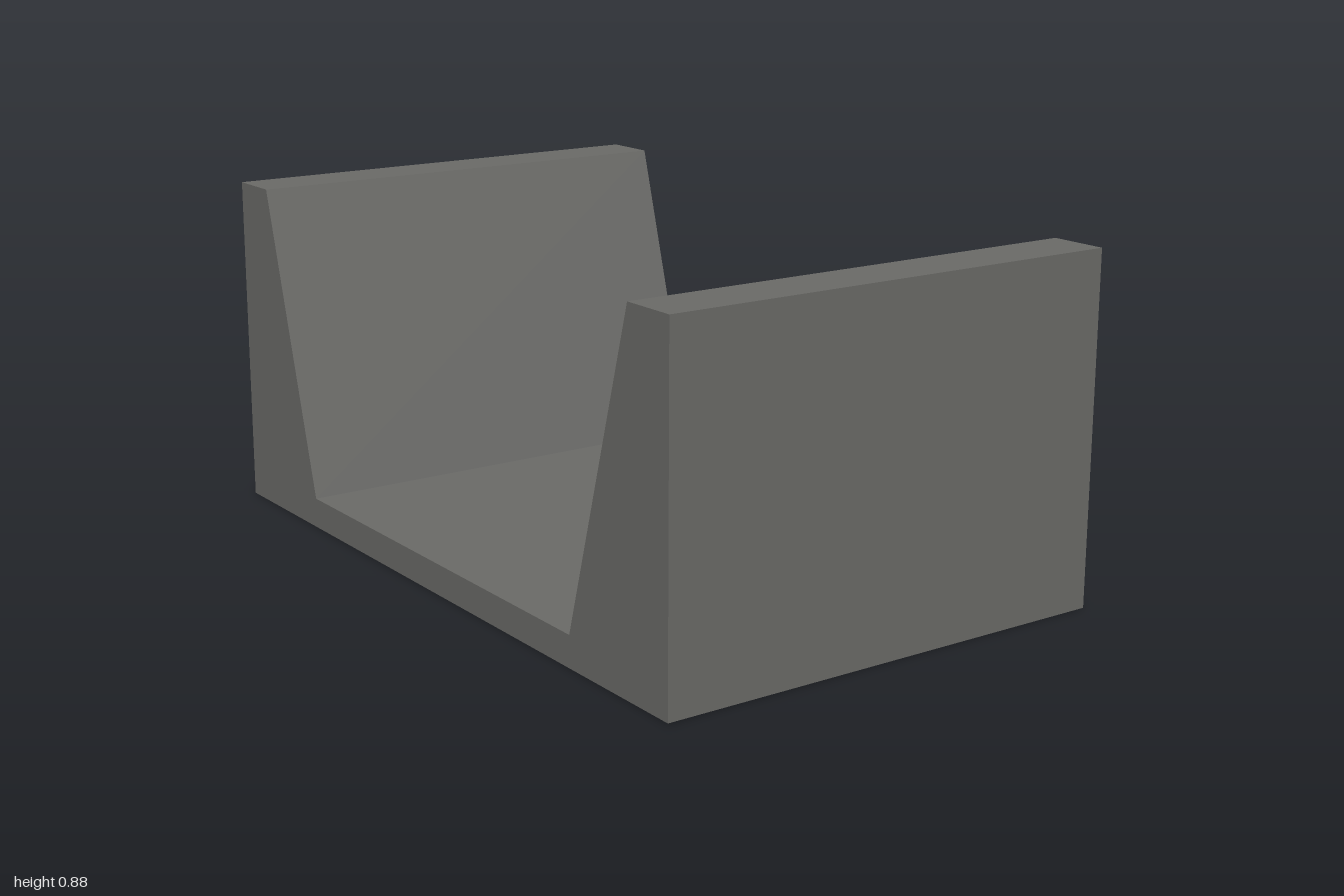
import * as THREE from 'three';

const WIDTH = 1.234;

export function createModel() {
  const group = new THREE.Group();
  group.name = 'channelBlock';

  const darkGrey = new THREE.MeshStandardMaterial({ color: 0x6b6b68 });
  darkGrey.name = 'dark grey';

  // Half of the side profile (distance from centre, height), mirrored for the other half
  const half = [[1, 0], [1, 0.885], [0.85, 0.885], [0.62, 0.08]];
  const mirrored = half.map(([d, y]) => [-d, y]).reverse();
  const profile = new THREE.Shape([...half, ...mirrored].map(([d, y]) => new THREE.Vector2(d, y)));

  // Floor and two tapered walls, extruded as one solid across the width
  const geometry = new THREE.ExtrudeGeometry(profile, { depth: WIDTH, bevelEnabled: false });
  geometry.translate(0, 0, -WIDTH / 2);
  geometry.rotateY(-Math.PI / 2);

  const channel = new THREE.Mesh(geometry, darkGrey);
  channel.name = 'floorAndTaperedWalls';
  group.add(channel);

  return group;
}
